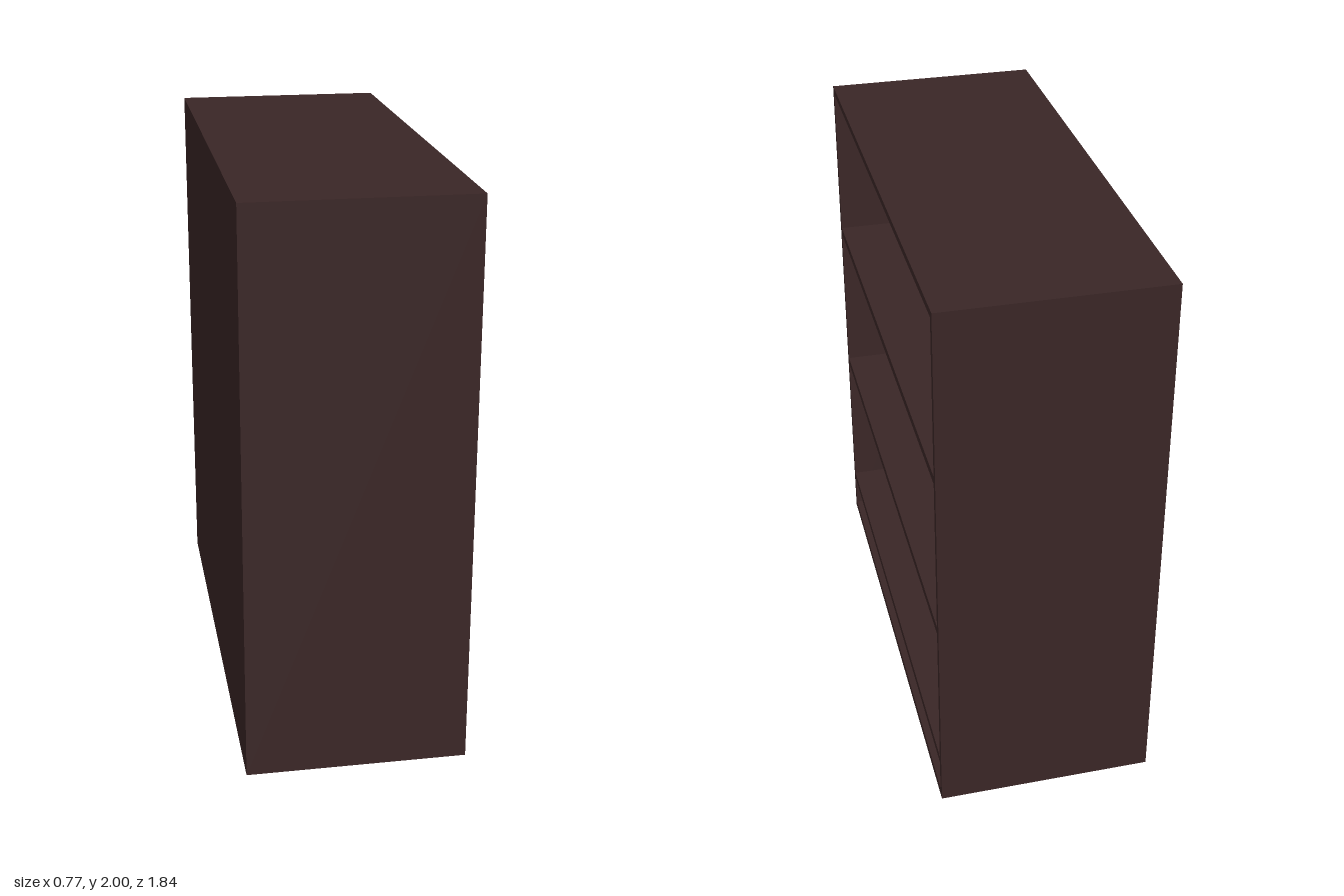
import * as THREE from 'three';

export function createModel() {
  const group = new THREE.Group();
  const wood = new THREE.MeshStandardMaterial({ color: 0x3a2626 });
  wood.name = 'dark wood';

  // Bookcase open towards +x
  const X = 0.385, Z = 0.92, H = 2, SIDE = 0.023, BACK = 0.025;

  // Board given by its minimum and maximum corners
  function board(name, [x0, y0, z0], [x1, y1, z1]) {
    const mesh = new THREE.Mesh(new THREE.BoxGeometry(x1 - x0, y1 - y0, z1 - z0), wood);
    mesh.position.set((x0 + x1) / 2, (y0 + y1) / 2, (z0 + z1) / 2);
    mesh.name = name;
    group.add(mesh);
  }

  // Upright end panels
  board('frontEndPanel', [-X, 0, Z - SIDE], [X, H, Z]);
  board('rearEndPanel', [-X, 0, -Z], [X, H, -Z + SIDE]);

  // Closed back, between the end panels
  const inner = Z - SIDE;
  board('backPanel', [-X, 0, -inner], [-X + BACK, H, inner]);

  // Horizontal boards: base, three shelves and top
  const levels = [
    ['basePanel', 0, 0.03],
    ['lowerShelf', 0.16, 0.19],
    ['middleShelf', 0.76, 0.79],
    ['upperShelf', 1.375, 1.405],
    ['topPanel', 1.975, H],
  ];
  for (const [name, y0, y1] of levels) {
    board(name, [-X + BACK, y0, -inner], [X, y1, inner]);
  }

  // Slightly recessed plinth board below the lowest shelf
  board('kickBoard', [X - 0.05, 0.03, -inner], [X - 0.025, 0.16, inner]);

  return group;
}
